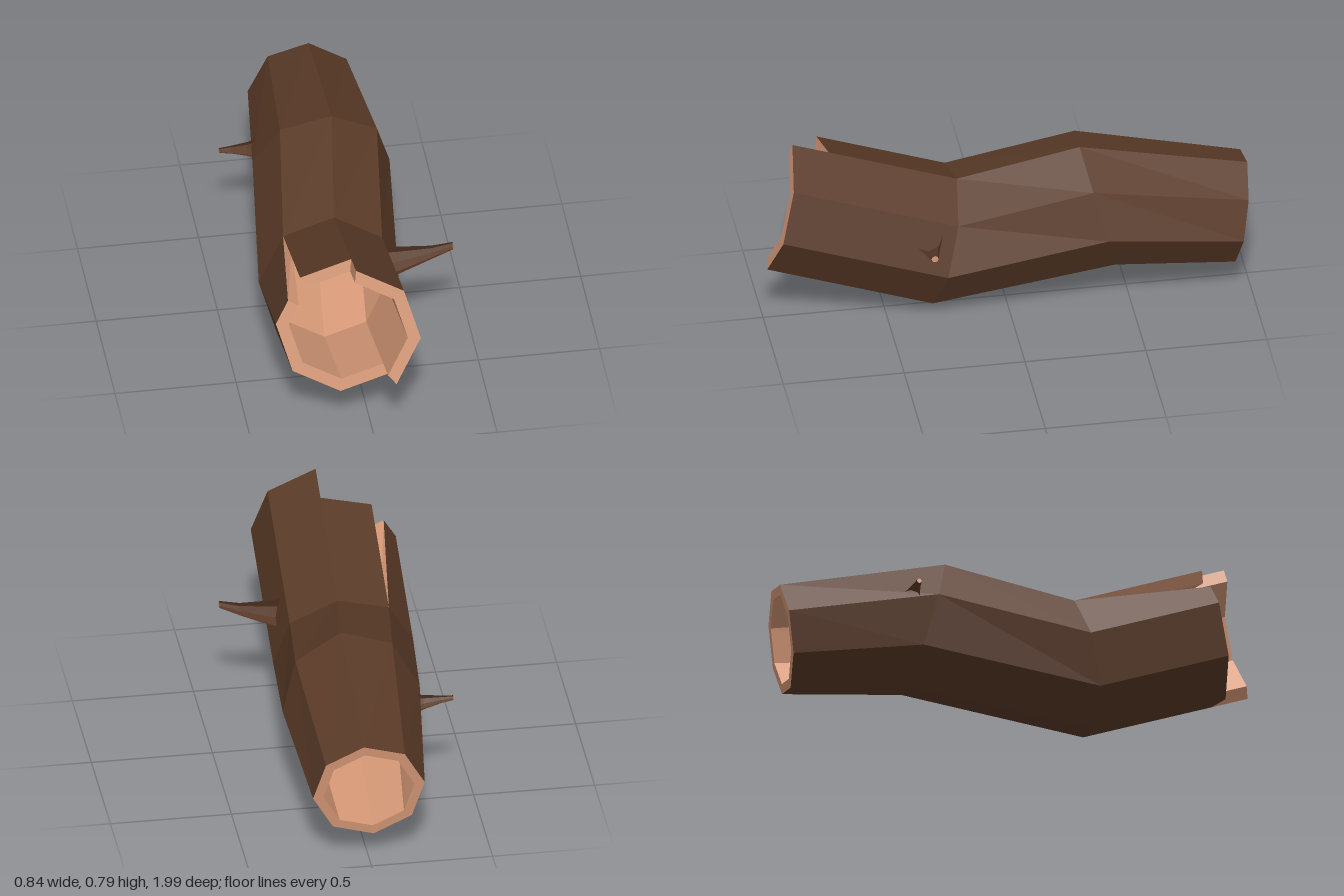
import * as THREE from 'three';

const bark = new THREE.MeshStandardMaterial({ color: 0x5a3a27, flatShading: true });
const wood = new THREE.MeshStandardMaterial({ color: 0xd89a78, flatShading: true, side: THREE.DoubleSide });

const SIDES = 8;
const v = (x, y, z) => new THREE.Vector3(x, y, z);
const mix = (a, b, t) => a.clone().lerp(b, t);

// Tilted octagonal section of the log; corner 0 is at the top, then clockwise from the front
function ring(center, radius, tilt, yaw = 0) {
  const T = THREE.MathUtils.degToRad(tilt);
  const section = (r) => Array.from({ length: SIDES }, (_, k) => {
    const a = THREE.MathUtils.degToRad(83.5 - 45 * k);
    const x = r * Math.cos(a), y = r * Math.sin(a);
    return v(x, y * Math.cos(T), -y * Math.sin(T) + yaw * x).add(center);
  });
  return { outer: section(radius), inner: section(radius * 0.815) };
}

// Collects four-cornered faces (counter-clockwise) into one mesh
function quadMesh(name, quads, material) {
  const pos = [];
  for (const [a, b, c, d] of quads)
    for (const p of [a, b, c, a, c, d]) pos.push(p.x, p.y, p.z);
  const g = new THREE.BufferGeometry();
  g.setAttribute('position', new THREE.Float32BufferAttribute(pos, 3));
  g.computeVertexNormals();
  const mesh = new THREE.Mesh(g, material);
  mesh.name = name;
  return mesh;
}

// Round, tapering broken twig; stations are [x, y, z, radius] running along x
function twig(name, stations, dir) {
  const n = 8, loops = stations.map(([x, y, z, r]) =>
    Array.from({ length: n }, (_, i) => {
      const a = (i / n) * Math.PI * 2;
      return v(x, y + r * Math.cos(a), z + dir * r * Math.sin(a));
    }));
  const sides = [], tip = [];
  const [tx, ty, tz] = stations[stations.length - 1];
  for (let i = 0; i < n; i++) {
    const j = (i + 1) % n;
    for (let s = 0; s < loops.length - 1; s++)
      sides.push([loops[s][i], loops[s][j], loops[s + 1][j], loops[s + 1][i]].reverse());
    const last = loops[loops.length - 1];
    tip.push([v(tx, ty, tz), last[i], last[j], last[j]]);
  }
  const group = new THREE.Group();
  group.name = name;
  group.add(quadMesh(name + 'Bark', sides, bark), quadMesh(name + 'Tip', tip, wood));
  return group;
}

export function createModel() {
  const model = new THREE.Group();
  model.name = 'hollowLog';

  // Sections from front to back
  const rings = [
    ring(v(-0.095, 0.513, 0.94), 0.29, 14.5),
    ring(v(-0.08, 0.283, 0.26), 0.29, 14),
    ring(v(-0.014, 0.43, -0.375), 0.286, -14),
    ring(v(0.005, 0.34, -0.963), 0.23, 9, 0.04),
  ];
  const barkQuads = [], innerQuads = [], rimQuads = [];

  // Whole back part of the log
  for (let s = 1; s < 3; s++) {
    const f = rings[s], b = rings[s + 1];
    for (let k = 0; k < SIDES; k++) {
      const j = (k + 1) % SIDES;
      barkQuads.push([f.outer[k], f.outer[j], b.outer[j], b.outer[k]]);
      innerQuads.push([f.inner[j], f.inner[k], b.inner[k], b.inner[j]]);
      if (s === 2) rimQuads.push([b.outer[k], b.outer[j], b.inner[j], b.inner[k]]);
    }
  }

  // Broken front part: some staves are shorter, one is split along a wedge
  const SHORT = 0.78;
  const lengths = [1, 1, 1, SHORT, SHORT, SHORT, SHORT, SHORT];
  const SPLIT = 6;
  const [f, b] = rings;
  for (let k = 0; k < SIDES; k++) {
    const j = (k + 1) % SIDES, t = lengths[k];
    const at = (layer, i) => mix(b[layer][i], f[layer][i], t);
    const [ok, ik] = [at('outer', k), at('inner', k)];
    let [oj, ij] = [at('outer', j), at('inner', j)];
    if (k === SPLIT) {
      oj = mix(ok, oj, 0.5);
      ij = mix(ik, ij, 0.5);
    }
    barkQuads.push([ok, oj, b.outer[j], b.outer[k]]);
    innerQuads.push([ij, ik, b.inner[k], b.inner[j]]);
    rimQuads.push([ik, ij, oj, ok]);
    // Exposed edges of the split and of the longer staves
    if (k === SPLIT) rimQuads.push([oj, ij, b.inner[j], b.outer[j]]);
    if (k === SPLIT + 1) rimQuads.push([ik, ok, b.outer[k], b.inner[k]]);
    if (k === 0 || k === 2) {
      const e = k === 0 ? 0 : 3;
      rimQuads.push([f.outer[e], f.inner[e],
        mix(b.inner[e], f.inner[e], SHORT), mix(b.outer[e], f.outer[e], SHORT)]);
    }
  }

  model.add(
    quadMesh('bark', barkQuads, bark),
    quadMesh('hollowInside', innerQuads, wood),
    quadMesh('brokenRims', rimQuads, wood),
  );

  // Broken twigs on both sides
  model.add(twig('leftTwig', [
    [0.14, 0.425, 0.345, 0.068], [0.2, 0.435, 0.347, 0.054],
    [0.33, 0.462, 0.352, 0.027], [0.417, 0.49, 0.358, 0.015],
  ], 1));
  model.add(twig('rightTwig', [
    [-0.26, 0.445, -0.477, 0.042], [-0.3, 0.448, -0.477, 0.029],
    [-0.37, 0.454, -0.475, 0.016], [-0.42, 0.456, -0.474, 0.01],
  ], -1));
  return model;
}
